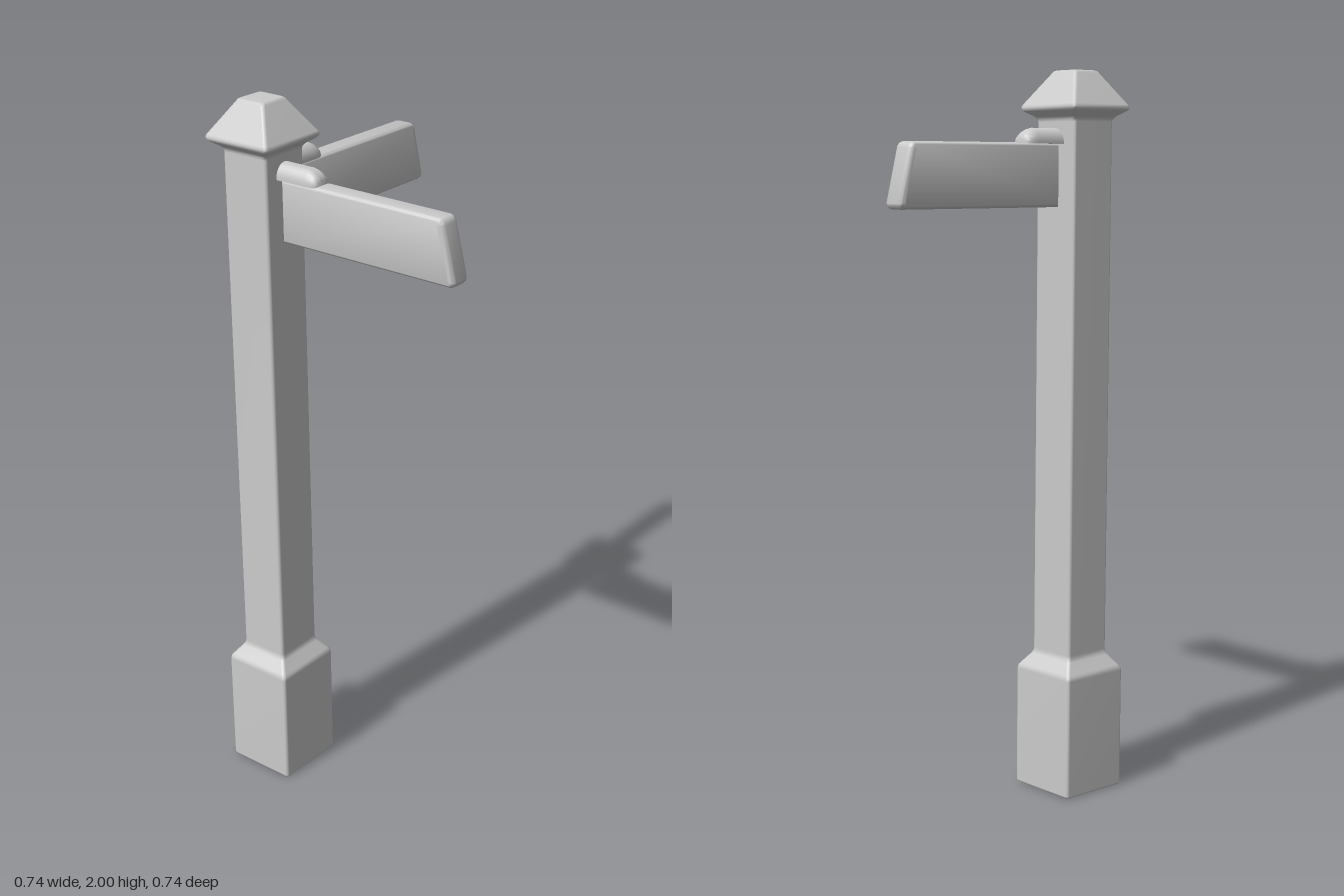
import * as THREE from 'three';
import { toCreasedNormals } from 'three/addons/utils/BufferGeometryUtils.js';

const material = new THREE.MeshStandardMaterial({ color: 0xcccccc });

function addMesh(parent, name, geometry) {
  const mesh = new THREE.Mesh(geometry, material);
  mesh.name = name;
  parent.add(mesh);
}

// Closed skin over equal-length rings, each counter-clockwise about the loft direction
function loft(rings) {
  const n = rings[0].length, last = (rings.length - 1) * n, index = [];
  for (let r = 0; r < last; r += n) {
    for (let i = 0; i < n; i++) {
      const j = (i + 1) % n;
      index.push(r + i, r + j, r + n + j, r + i, r + n + j, r + n + i);
    }
  }
  for (let i = 1; i < n - 1; i++) {
    index.push(0, i + 1, i, last, last + i, last + i + 1);
  }
  const g = new THREE.BufferGeometry();
  g.setAttribute('position', new THREE.Float32BufferAttribute(rings.flat(2), 3));
  g.setIndex(index);
  g.computeVertexNormals();
  return g;
}

// Horizontal square ring with rounded corners
function squareRing(half, y, radius = 0.009) {
  const ring = [], c = half - radius;
  for (let k = 0; k < 4; k++) {
    const mid = Math.PI / 4 + k * Math.PI / 2;
    for (let s = 0; s <= 4; s++) {
      const a = k * Math.PI / 2 + s * Math.PI / 8;
      ring.push([
        Math.sign(Math.cos(mid)) * c + radius * Math.cos(a), y,
        -Math.sign(Math.sin(mid)) * c - radius * Math.sin(a),
      ]);
    }
  }
  return ring;
}

// Slanted sign board with softened edges, pointing along +x
function boardGeometry() {
  const b = 0.014;
  const shape = new THREE.Shape();
  shape.moveTo(0.084 + b, 1.635 + b);
  shape.lineTo(0.632 - b, 1.635 + b);
  shape.quadraticCurveTo(0.636 - b, 1.635 + b, 0.635 - b, 1.64 + b);
  shape.lineTo(0.602 - b, 1.8 - b);
  shape.quadraticCurveTo(0.601 - b, 1.806 - b, 0.596 - b, 1.806 - b);
  shape.lineTo(0.084 + b, 1.806 - b);
  const depth = 0.066 - 2 * b;
  const g = new THREE.ExtrudeGeometry(shape, {
    depth, bevelEnabled: true, bevelSize: b, bevelThickness: b, bevelSegments: 4, curveSegments: 4,
  });
  g.translate(0, 0, -depth / 2);
  return toCreasedNormals(g, 0.7);
}

// Domed bracket whose free end curves down
function bracketGeometry() {
  const stations = [[0.06, 1, 1], [0.162, 1, 1], [0.175, 0.99, 0.92], [0.187, 0.93, 0.76],
    [0.196, 0.8, 0.52], [0.2, 0.64, 0.28]];
  const rings = stations.map(([x, w, h]) => {
    const ring = [[x, 1.803, -0.033 * w]];
    for (let i = 0; i <= 12; i++) {
      const a = -Math.PI / 2 + i * Math.PI / 12;
      ring.push([x, 1.808 + 0.037 * h * Math.cos(a), 0.033 * w * Math.sin(a)]);
    }
    ring.push([x, 1.803, 0.033 * w]);
    return ring;
  });
  return toCreasedNormals(loft(rings), 0.8);
}

export function createModel() {
  const model = new THREE.Group();
  model.name = 'signpost';
  const post = new THREE.Group();
  post.name = 'postAssembly';
  post.position.set(-0.264, 0, -0.264);
  model.add(post);

  // Post: [half width, height] with narrow bevels at each change of slope
  const profile = [[0.1, 0], [0.104, 0.002], [0.106, 0.007], [0.106, 0.335], [0.104, 0.345],
    [0.099, 0.352], [0.078, 0.38], [0.074, 0.388], [0.073, 0.398], [0.073, 1.862],
    [0.075, 1.87], [0.079, 1.876], [0.101, 1.891], [0.105, 1.896], [0.106, 1.902],
    [0.103, 1.909], [0.048, 1.992], [0.045, 1.997], [0.039, 2]];
  addMesh(post, 'post', loft(profile.map(([h, y]) => squareRing(h, y))));

  // Two matching arms, one to the side and one to the front
  const board = boardGeometry(), bracket = bracketGeometry();
  ['sideArm', 'frontArm'].forEach((name, i) => {
    const arm = new THREE.Group();
    arm.name = name;
    arm.rotation.y = -i * Math.PI / 2;
    addMesh(arm, 'board', board);
    addMesh(arm, 'bracket', bracket);
    post.add(arm);
  });
  return model;
}
